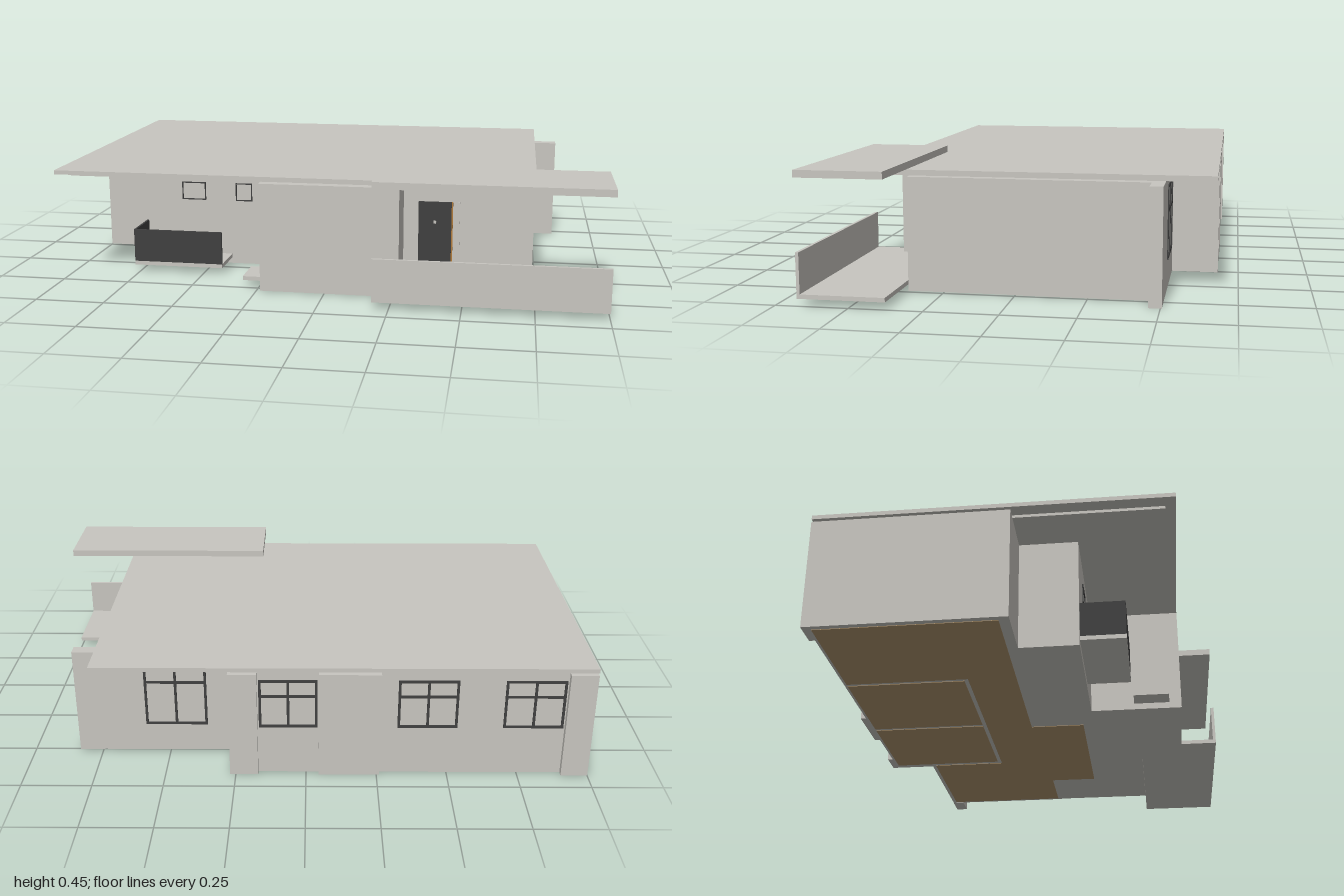
import * as THREE from 'three';

export function createModel() {
  const model = new THREE.Group();
  model.name = 'house';

  const mat = (name, color) => {
    const m = new THREE.MeshStandardMaterial({ color });
    m.name = name;
    return m;
  };
  const concrete = mat('pale concrete', 0xc8c6c0);
  const charcoal = mat('charcoal', 0x404040);
  const wood = mat('wood floor', 0xae946e);
  const trim = mat('door trim', 0xb07a3a);

  const add = (name, geometry, material, parent = model) => {
    const mesh = new THREE.Mesh(geometry, material);
    mesh.name = name;
    parent.add(mesh);
    return mesh;
  };
  // Box given by its limits on each axis
  const box = (name, material, x0, x1, y0, y1, z0, z1, parent) => {
    const g = new THREE.BoxGeometry(x1 - x0, y1 - y0, z1 - z0);
    g.translate((x0 + x1) / 2, (y0 + y1) / 2, (z0 + z1) / 2);
    return add(name, g, material, parent);
  };
  // Floor plan of [x, z] points raised from y0 to y1
  const plan = (name, material, points, y0, y1, parent) => {
    const shape = new THREE.Shape(points.map(([x, z]) => new THREE.Vector2(x, -z)));
    const g = new THREE.ExtrudeGeometry(shape, { depth: y1 - y0, bevelEnabled: false });
    g.rotateX(-Math.PI / 2);
    g.translate(0, y0, 0);
    return add(name, g, material, parent);
  };

  // Walls, with recessed window bays at the back and stepped front
  plan('walls', concrete, [
    [-1, -0.675], [-0.905, -0.675], [-0.905, -0.655], [-0.26, -0.655],
    [-0.26, -0.675], [-0.045, -0.675], [-0.045, -0.655], [0.17, -0.655],
    [0.17, -0.675], [0.27, -0.675], [0.27, -0.505], [0.745, -0.505],
    [0.745, -0.005], [0.74, -0.005], [0.74, 0.375], [0.27, 0.375],
    [0.27, 0.535], [-0.235, 0.535], [-0.235, 0.2], [-0.78, 0.2],
    [-0.78, -0.005], [-1, -0.005],
  ], 0.002, 0.4);
  box('sideFin', concrete, 0.745, 0.835, 0, 0.4, -0.505, -0.46);

  // Room floors, visible from underneath between the wall bases
  const floors = new THREE.Group();
  floors.name = 'floors';
  model.add(floors);
  plan('livingFloor', wood, [
    [0.73, -0.49], [0.26, -0.49], [0.26, -0.21], [-0.565, -0.21], [-0.565, -0.04],
    [-0.11, -0.04], [-0.11, 0.16], [0.49, 0.16], [0.49, -0.02], [0.73, -0.02],
  ], 0, 0.005, floors);
  plan('cornerRoomFloor', wood, [
    [-0.565, -0.645], [-0.98, -0.645], [-0.98, -0.04], [-0.565, -0.04],
  ], 0, 0.005, floors);
  for (const [x0, x1] of [[-0.55, -0.155], [-0.14, 0.24]])
    box('bedroomFloor', wood, x0, x1, 0, 0.005, -0.645, -0.225, floors);

  // Roof
  box('ceilingSlab', concrete, -0.95, 0.705, 0.4, 0.41, -0.63, 0.5);
  box('roofSlab', concrete, -1, 0.745, 0.41, 0.425, -0.675, 0.535);

  // Porch: floor, parapet and raised canopy
  box('porchFloor', concrete, 0.19, 1, 0.025, 0.04, 0.375, 0.675);
  box('porchParapet', concrete, 0.19, 1, 0.04, 0.18, 0.664, 0.675);
  box('porchCanopy', concrete, 0.19, 1, 0.425, 0.45, 0.375, 0.675);

  // Front door with knob, trim and sidelight
  const door = new THREE.Group();
  door.name = 'frontDoor';
  model.add(door);
  box('doorPanel', charcoal, 0.325, 0.445, 0.04, 0.32, 0.375, 0.381, door);
  box('doorKnob', concrete, 0.38, 0.39, 0.24, 0.25, 0.381, 0.386, door);
  box('doorTrim', trim, 0.445, 0.45, 0.04, 0.32, 0.375, 0.38, door);
  box('sidelight', concrete, 0.455, 0.475, 0.04, 0.32, 0.375, 0.38, door);

  // Balcony with dark railing on the front and left-hand end
  box('balconyFloor', concrete, -0.77, -0.425, 0.025, 0.04, 0.2, 0.355);
  box('balconyRailFront', charcoal, -0.77, -0.425, 0.04, 0.165, 0.347, 0.355);
  box('balconyRailSide', charcoal, -0.77, -0.762, 0.04, 0.165, 0.2, 0.347);
  box('sideLedge', concrete, -0.31, -0.235, 0.025, 0.04, 0.36, 0.49);

  // Window frames: thin bars standing off the wall face
  const frame = (name, x0, x1, y0, y1, z, t, panes) => {
    const g = new THREE.Group();
    g.name = name;
    model.add(g);
    const bar = (a, b, c, d) => box('frameBar', charcoal, a, b, c, d, z - 0.004, z + 0.004, g);
    bar(x0, x1, y0, y0 + t);
    bar(x0, x1, y1 - t, y1);
    bar(x0, x0 + t, y0, y1);
    bar(x1 - t, x1, y0, y1);
    if (panes) {
      const xm = (x0 + x1) / 2, ym = y0 + (y1 - y0) * 0.66;
      bar(xm - t / 2, xm + t / 2, y0, y1);
      bar(x0, x1, ym - t / 2, ym + t / 2);
    }
  };
  frame('backWindow', 0.36, 0.585, 0.11, 0.37, -0.505, 0.009, true);
  for (const [x0, x1] of [[-0.04, 0.165], [-0.53, -0.32], [-0.9, -0.69]])
    frame('backWindow', x0, x1, 0.185, 0.37, -0.655, 0.009, true);
  for (const [x0, x1] of [[-0.62, -0.525], [-0.405, -0.34]])
    frame('frontWindow', x0, x1, 0.255, 0.325, 0.2, 0.004, false);

  // Row of small vents beside the front windows
  for (let i = 0; i < 6; i++) {
    const x = -0.308 + i * 0.013;
    box('vent', charcoal, x, x + 0.005, 0.297, 0.302, 0.2, 0.203);
  }
  return model;
}
